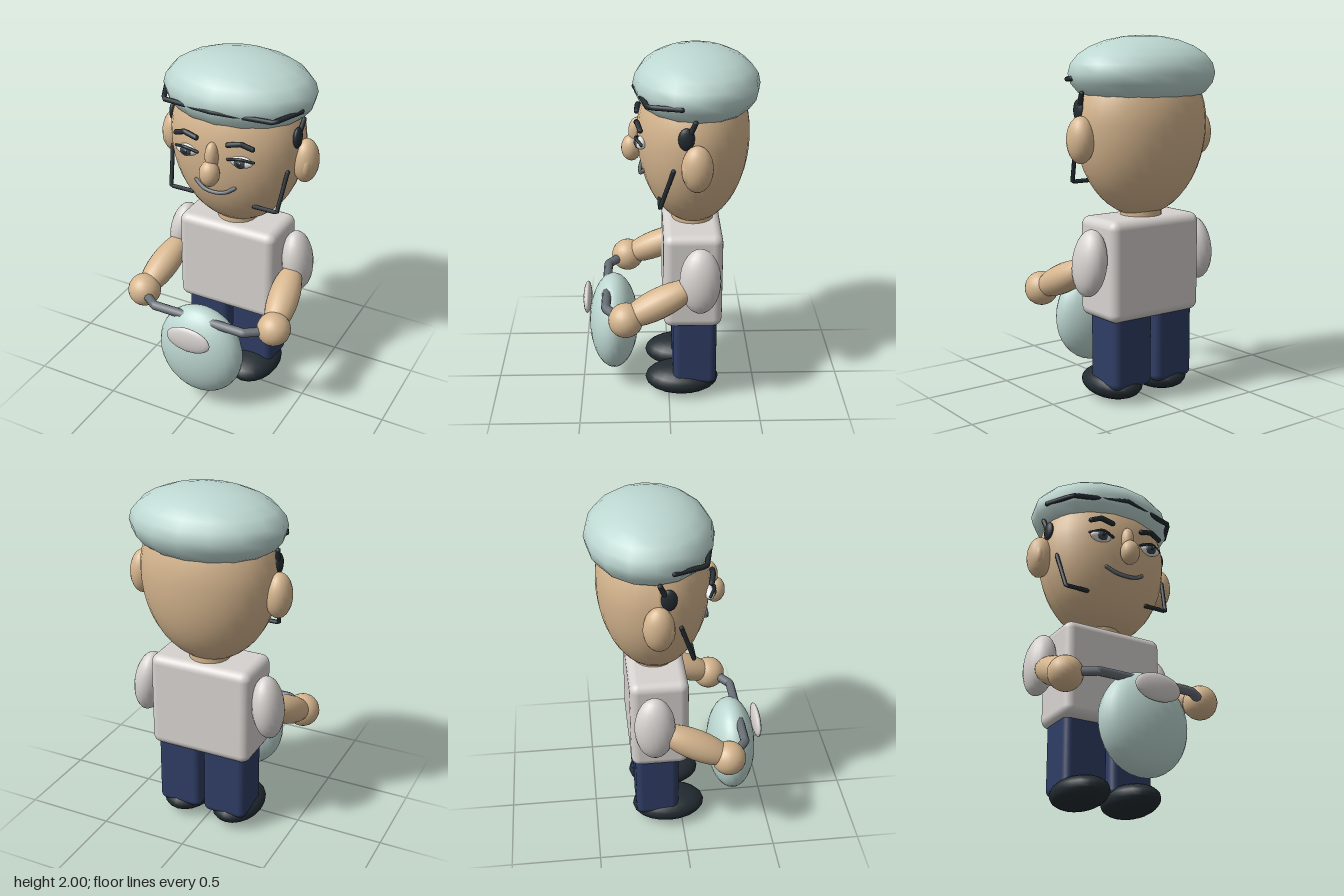
import * as THREE from 'three';
import { RoundedBoxGeometry } from 'three/addons/geometries/RoundedBoxGeometry.js';

export function createModel() {
  const model = new THREE.Group();
  model.name = 'scooterRider';

  const material = (name, color) => {
    const m = new THREE.MeshStandardMaterial({ color });
    m.name = name;
    return m;
  };
  const mint = material('mint', 0xbdd7d1);
  const skin = material('skin', 0xd6b68f);
  const shirt = material('shirt', 0xd6d2cf);
  const navy = material('navy', 0x2f3d64);
  const dark = material('charcoal', 0x232c32);
  const grey = material('steelGrey', 0x697077);
  const white = material('eyeWhite', 0xeeeeec);
  const iris = material('iris', 0x3f474d);

  const add = (name, geometry, mat) => {
    const mesh = new THREE.Mesh(geometry, mat);
    mesh.name = name;
    model.add(mesh);
    return mesh;
  };
  const ellipsoid = (name, mat, center, radii, across = 20, down = 14) => {
    const mesh = add(name, new THREE.SphereGeometry(1, across, down), mat);
    mesh.position.set(...center);
    mesh.scale.set(...radii);
    return mesh;
  };
  const box = (name, mat, center, size, radius) => {
    add(name, new RoundedBoxGeometry(...size, 3, radius), mat).position.set(...center);
  };
  // Round rod through points, with straight or curved runs and closed ends
  const rod = (name, mat, points, radius, curved = false) => {
    const pts = points.map((p) => new THREE.Vector3(...p));
    const path = new THREE.CurvePath();
    if (curved) path.add(new THREE.CatmullRomCurve3(pts));
    else for (let i = 1; i < pts.length; i++) path.add(new THREE.LineCurve3(pts[i - 1], pts[i]));
    add(name, new THREE.TubeGeometry(path, 32, radius, 8), mat);
    for (const end of [pts[0], pts[pts.length - 1]]) {
      ellipsoid(name + 'End', mat, end.toArray(), [radius, radius, radius], 8, 6);
    }
  };

  // Egg-shaped head, longer towards the chin
  const headShape = new THREE.SphereGeometry(1, 32, 24);
  const p = headShape.attributes.position;
  for (let i = 0; i < p.count; i++) {
    const y = p.getY(i);
    p.setXYZ(i, p.getX(i) * 0.385, y * (y > 0 ? 0.41 : 0.51), p.getZ(i) * 0.305);
  }
  headShape.computeVertexNormals();
  add('head', headShape, skin).position.set(0, 1.535, -0.135);
  const neck = add('neck', new THREE.CylinderGeometry(0.115, 0.115, 0.14, 20), skin);
  neck.position.set(0, 1.04, -0.135);

  // Cap and its front band
  ellipsoid('cap', mint, [0, 1.8, -0.15], [0.43, 0.2, 0.34], 16, 12);
  rod('capBand', dark, [
    [-0.4, 1.775, -0.06], [-0.32, 1.765, 0.11], [0, 1.785, 0.18],
    [0.32, 1.765, 0.11], [0.4, 1.775, -0.06],
  ], 0.014);

  // Nose and smile
  ellipsoid('noseBridge', skin, [0, 1.53, 0.17], [0.037, 0.08, 0.045]);
  ellipsoid('noseTip', skin, [0, 1.44, 0.2], [0.056, 0.073, 0.055]);
  rod('mouth', grey, [
    [-0.115, 1.348, 0.135], [-0.065, 1.318, 0.15], [0, 1.308, 0.155],
    [0.065, 1.318, 0.15], [0.115, 1.348, 0.135],
  ], 0.011, true);

  // Torso
  box('torso', shirt, [0, 0.755, -0.13], [0.6, 0.555, 0.325], 0.05);

  for (const s of [-1, 1]) {
    const side = s > 0 ? 'left' : 'right';

    // Ears
    ellipsoid(side + 'Ear', skin, [s * 0.4, 1.46, -0.14], [0.072, 0.125, 0.083]);
    ellipsoid(side + 'InnerEar', skin, [s * 0.425, 1.45, -0.105], [0.03, 0.07, 0.045]);

    // Eyes, lids and brows
    ellipsoid(side + 'Eye', white, [s * 0.16, 1.522, 0.147], [0.066, 0.031, 0.028]);
    ellipsoid(side + 'Iris', iris, [s * 0.16, 1.522, 0.166], [0.034, 0.029, 0.016], 16, 10);
    ellipsoid(side + 'Pupil', dark, [s * 0.16, 1.522, 0.175], [0.018, 0.017, 0.01], 12, 8);
    ellipsoid(side + 'EyeGlint', white, [s * 0.16 + 0.01, 1.532, 0.183], [0.005, 0.005, 0.004], 8, 6);
    rod(side + 'Eyelid', dark, [
      [s * 0.09, 1.53, 0.165], [s * 0.16, 1.549, 0.175], [s * 0.23, 1.532, 0.145],
    ], 0.008, true);
    rod(side + 'Brow', dark, [
      [s * 0.095, 1.615, 0.17], [s * 0.165, 1.633, 0.165], [s * 0.225, 1.61, 0.15],
    ], 0.015);

    // Temple pad with its strap, and the jaw rod
    ellipsoid(side + 'TemplePad', dark, [s * 0.372, 1.61, -0.085], [0.022, 0.06, 0.043], 16, 10);
    rod(side + 'TempleStrap', dark, [[s * 0.375, 1.63, -0.1], [s * 0.385, 1.7, -0.13]], 0.014);
    rod(side + 'JawRod', dark, [
      [s * 0.35, 1.43, -0.02], [s * 0.325, 1.215, 0.05], [s * 0.19, 1.215, 0.05],
    ], 0.012);

    // Sleeve, forearm and hand
    const sleeve = ellipsoid(side + 'Sleeve', shirt, [s * 0.365, 0.805, -0.165], [0.085, 0.182, 0.112]);
    sleeve.rotation.z = s * 0.12;
    const forearm = ellipsoid(side + 'Forearm', skin, [s * 0.385, 0.685, 0.06], [0.088, 0.23, 0.082]);
    forearm.quaternion.setFromUnitVectors(
      new THREE.Vector3(0, 1, 0), new THREE.Vector3(s * 0.05, -0.17, 0.36).normalize());
    ellipsoid(side + 'Hand', skin, [s * 0.413, 0.6, 0.238], [0.095, 0.095, 0.095]);

    // Handlebar
    rod(side + 'Handlebar', grey, [
      [s * 0.4, 0.6, 0.265], [s * 0.28, 0.6, 0.35], [s * 0.06, 0.6, 0.35],
    ], 0.026);

    // Leg and shoe
    box(side + 'Leg', navy, [s * 0.14, 0.32, -0.145], [0.26, 0.46, 0.245], 0.04);
    ellipsoid(side + 'Shoe', dark, [s * 0.155, 0.088, -0.075], [0.145, 0.085, 0.21]);
  }

  // Scooter front and headlight
  ellipsoid('scooterFront', mint, [0, 0.375, 0.315], [0.255, 0.28, 0.14], 28, 18);
  ellipsoid('headlight', shirt, [0, 0.528, 0.463], [0.135, 0.077, 0.025]);

  return model;
}
